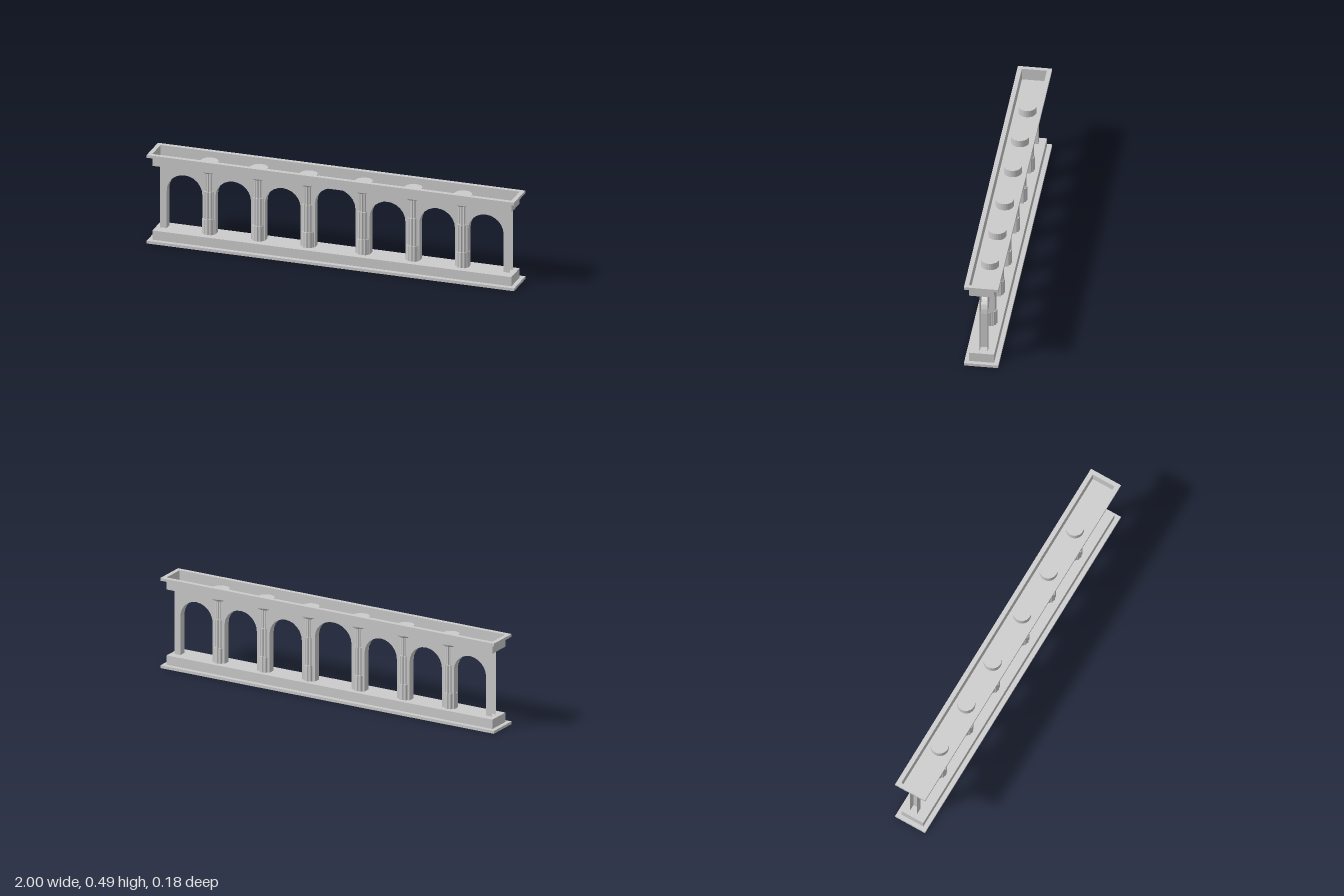
import * as THREE from 'three';

const mat = new THREE.MeshStandardMaterial({ color: 0xcccccc, side: THREE.DoubleSide, flatShading: true });
const COLUMN_Z = -0.004;
const WALL_FRONT = 0.013, WALL_BACK = -0.028;
const FLOOR = 0.067, SOFFIT = 0.425, HEIGHT = 0.491;

function add(parent, geometry, name) {
  const mesh = new THREE.Mesh(geometry, mat);
  mesh.name = name;
  parent.add(mesh);
  return mesh;
}

// Rectangle outline centred on the origin
function rect(Type, hx, hz) {
  return new Type([[-hx, -hz], [hx, -hz], [hx, hz], [-hx, hz]].map(p => new THREE.Vector2(...p)));
}

// Extrude a plan shape upwards
function rise(shape, y0, y1) {
  const g = new THREE.ExtrudeGeometry(shape, { depth: y1 - y0, bevelEnabled: false });
  g.rotateX(-Math.PI / 2);
  g.translate(0, y0, 0);
  return g;
}

// Open tray with a projecting flange around its mouth
function tray(name) {
  const g = new THREE.Group();
  g.name = name;
  const hx = 0.977, hz = 0.065, top = HEIGHT - SOFFIT;
  const floor = new THREE.PlaneGeometry(2 * hx, 2 * hz);
  floor.rotateX(-Math.PI / 2);
  add(g, floor, 'trayFloor');
  for (const s of [-1, 1]) {
    const side = new THREE.PlaneGeometry(2 * hx, top);
    side.translate(0, top / 2, hz);
    if (s < 0) side.rotateY(Math.PI);
    add(g, side, 'traySide');
    const end = new THREE.PlaneGeometry(2 * hz, top);
    end.translate(0, top / 2, hx);
    end.rotateY(s * Math.PI / 2);
    add(g, end, 'trayEnd');
  }
  const ring = rect(THREE.Shape, 1, 0.089);
  ring.holes.push(rect(THREE.Path, hx, hz));
  add(g, rise(ring, top - 0.015, top), 'flange');
  return g;
}

// Outline of one arched opening, from left foot to right foot
function archPoints(cx, half, crown) {
  const pts = [new THREE.Vector2(cx - half, FLOOR)];
  const n = 12, rise = Math.min(half, 0.1), spring = crown - rise;
  for (let i = 0; i <= n; i++) {
    const a = Math.PI * (1 - i / n);
    pts.push(new THREE.Vector2(cx + half * Math.cos(a), spring + rise * Math.sin(a)));
  }
  pts.push(new THREE.Vector2(cx + half, FLOOR));
  return pts;
}

// Strip joining the front and back wall faces along an outline
function reveal(pts) {
  const pos = [];
  for (let i = 0; i + 1 < pts.length; i++) {
    const a = pts[i], b = pts[i + 1];
    const q = [[a, WALL_FRONT], [a, WALL_BACK], [b, WALL_BACK], [b, WALL_FRONT]];
    for (const k of [0, 1, 2, 0, 2, 3]) pos.push(q[k][0].x, q[k][0].y, q[k][1]);
  }
  const g = new THREE.BufferGeometry();
  g.setAttribute('position', new THREE.Float32BufferAttribute(pos, 3));
  g.computeVertexNormals();
  return g;
}

function arcade() {
  const g = new THREE.Group();
  g.name = 'arcadeWall';
  const arches = [-0.82, -0.555, -0.285, 0, 0.285, 0.555, 0.82]
    .map(x => x === 0 ? archPoints(0, 0.11, 0.41) : archPoints(x, 0.097, 0.373));
  const outline = [new THREE.Vector2(-0.953, SOFFIT), new THREE.Vector2(-0.953, FLOOR),
    ...arches.flat(), new THREE.Vector2(0.953, FLOOR), new THREE.Vector2(0.953, SOFFIT)];
  const face = new THREE.ShapeGeometry(new THREE.Shape(outline));
  add(g, face, 'wallFront').position.z = WALL_FRONT;
  // The wall is symmetric, so the back is the front turned around
  const back = add(g, face, 'wallBack');
  back.rotation.y = Math.PI;
  back.position.z = WALL_BACK;
  arches.forEach(p => add(g, reveal(p), 'archReveal'));
  return g;
}

// Plan of a fluted shaft: flat fillets between scooped channels
function flutedShape(r, depth) {
  const pts = [], flutes = 12, profile = [0, 0, 0.75, 1, 0.75];
  for (let i = 0; i < flutes * profile.length; i++) {
    const a = (i - 0.5) / (flutes * profile.length) * Math.PI * 2;
    const rr = r * (1 - depth * profile[i % profile.length]);
    pts.push(new THREE.Vector2(rr * Math.cos(a), rr * Math.sin(a)));
  }
  return new THREE.Shape(pts);
}

function column(x) {
  const g = new THREE.Group();
  g.name = 'column';
  g.position.set(x, 0, COLUMN_Z);
  add(g, rise(flutedShape(0.038, 0.08), 0.045, 0.15), 'lowerShaft');
  add(g, rise(flutedShape(0.034, 0.14), 0.15, 0.302), 'middleShaft');
  add(g, rise(flutedShape(0.029, 0.14), 0.302, 0.407), 'upperShaft');
  const profile = [[0, 0.405], [0.036, 0.405], [0.042, 0.409], [0.046, 0.416],
    [0.047, 0.424], [0.047, 0.464], [0, 0.464]].map(p => new THREE.Vector2(...p));
  add(g, new THREE.LatheGeometry(profile, 24), 'capital');
  return g;
}

export function createModel() {
  const model = new THREE.Group();
  model.name = 'arcade';

  const entablature = tray('entablature');
  entablature.position.y = SOFFIT;
  model.add(entablature);

  // The plinth is the same tray turned upside down
  const plinth = tray('plinth');
  plinth.rotation.x = Math.PI;
  plinth.position.y = HEIGHT - SOFFIT;
  model.add(plinth);

  model.add(arcade());
  for (const x of [0.15, 0.42, 0.69]) model.add(column(-x), column(x));
  return model;
}
